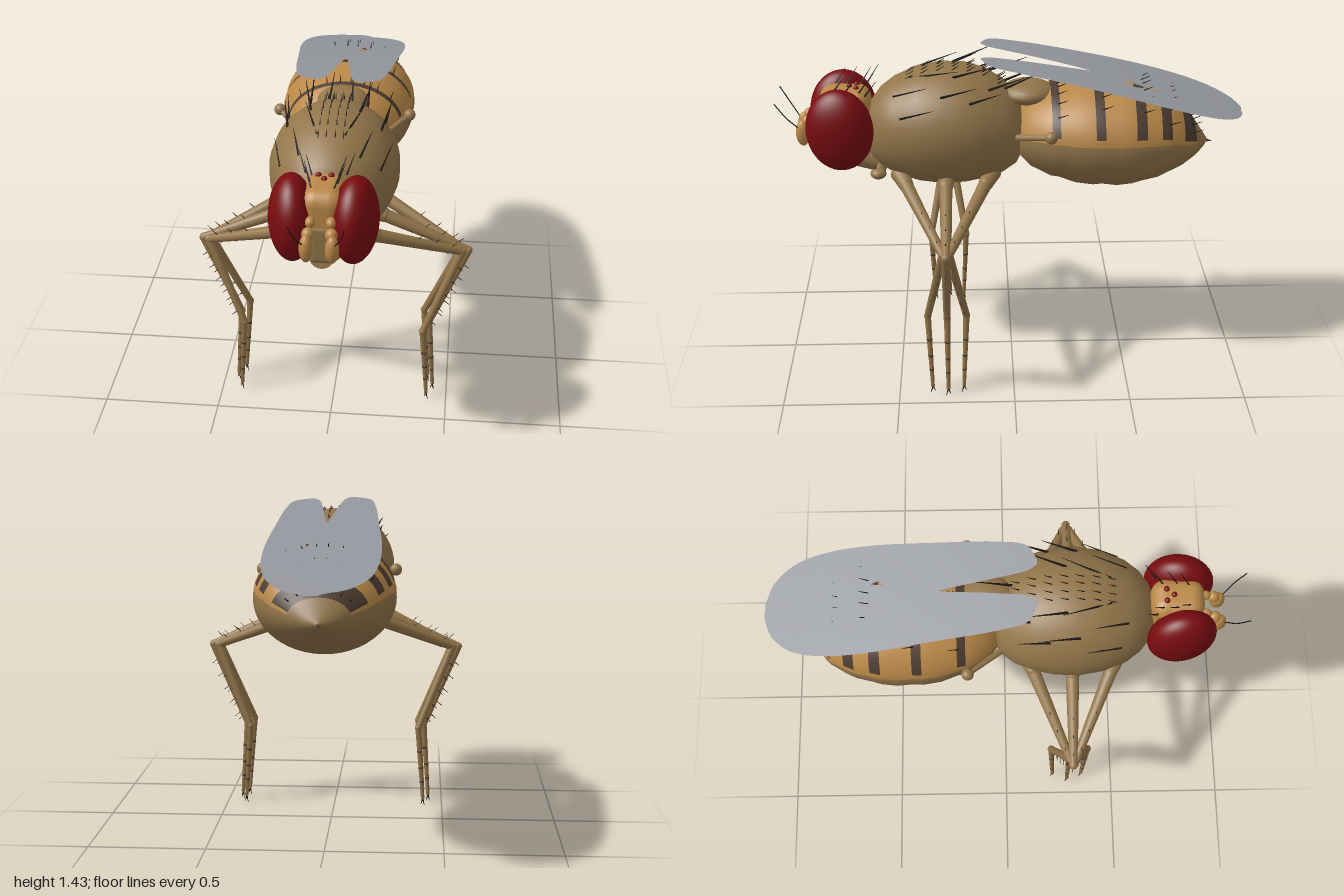
import * as THREE from 'three';
import { mergeGeometries } from 'three/addons/utils/BufferGeometryUtils.js';
import { RoundedBoxGeometry } from 'three/addons/geometries/RoundedBoxGeometry.js';

const mat = (name, color, side = THREE.FrontSide) => {
  const m = new THREE.MeshStandardMaterial({ color, side });
  m.name = name;
  return m;
};
const V = (x, y, z) => new THREE.Vector3(x, y, z);

export function createModel() {
  const drab = mat('drab brown', 0x92754a);
  const tan = mat('warm tan', 0xb98848);
  const dark = mat('band brown', 0x4c3c30);
  const red = mat('eye red', 0x780c10);
  const black = mat('bristle black', 0x1c1814);
  const grey = mat('wing grey', 0x94979d, THREE.DoubleSide);

  const model = new THREE.Group();
  model.name = 'fly';
  const add = (name, geo, material, parent = model) => {
    const m = new THREE.Mesh(geo, material);
    m.name = name;
    parent.add(m);
    return m;
  };
  // tapered rod between two points
  const rod = (a, b, r1, r2, sides = 14) => {
    const d = b.clone().sub(a);
    const g = new THREE.CylinderGeometry(r2, r1, d.length(), sides);
    g.applyQuaternion(new THREE.Quaternion().setFromUnitVectors(V(0, 1, 0), d.normalize()));
    return g.translate((a.x + b.x) / 2, (a.y + b.y) / 2, (a.z + b.z) / 2);
  };
  const ball = (p, rx, ry = rx, rz = rx, seg = 20) =>
    new THREE.SphereGeometry(1, seg, Math.round(seg * 0.7)).scale(rx, ry, rz).translate(p.x, p.y, p.z);
  const bristles = [];
  const bristle = (p, dx, dy, dz, r = 0.0045) =>
    bristles.push(rod(p, p.clone().add(V(dx, dy, dz)), r, 0.0008, 5));

  // body lofted through oval rings [z, top, bottom, halfWidth]; pick(row, k) gives the material index
  const N = 48;
  const loft = (rows, pick = () => 0) => {
    const pos = [], faces = [[], [], []];
    rows.forEach(([z, t, b, w]) => {
      for (let k = 0; k < N; k++) {
        const a = (k / N) * Math.PI * 2;
        pos.push(w * Math.cos(a), (t + b) / 2 + ((t - b) / 2) * Math.sin(a), z);
      }
    });
    const last = rows.length - 1;
    for (const r of [rows[0], rows[last]]) pos.push(0, (r[1] + r[2]) / 2, r[0]);
    const c0 = rows.length * N;
    for (let k = 0; k < N; k++) {
      const n = (k + 1) % N;
      for (let i = 0; i < last; i++) {
        const a = i * N + k, b = i * N + n, c = a + N, d = b + N;
        faces[pick(i, k)].push(a, c, b, b, c, d);
      }
      faces[0].push(c0, k, n, c0 + 1, last * N + n, last * N + k);
    }
    const g = new THREE.BufferGeometry();
    g.setAttribute('position', new THREE.Float32BufferAttribute(pos, 3));
    g.setIndex(faces.flat());
    let start = 0;
    faces.forEach((f, i) => { g.addGroup(start, f.length, i); start += f.length; });
    g.computeVertexNormals();
    return g;
  };
  // point on the upper surface of a lofted body
  const onTop = (rows, x, z) => {
    let i = 0;
    while (i < rows.length - 2 && rows[i + 1][0] > z) i++;
    const f = (rows[i][0] - z) / (rows[i][0] - rows[i + 1][0]);
    const [t, b, w] = [1, 2, 3].map(j => THREE.MathUtils.lerp(rows[i][j], rows[i + 1][j], f));
    return V(x, (t + b) / 2 + ((t - b) / 2) * Math.sqrt(Math.max(0, 1 - (x / w) ** 2)) - 0.003, z);
  };

  // thorax
  const thorax = [
    [0.62, 1.15, 1.02, 0.07], [0.6, 1.21, 0.96, 0.12], [0.56, 1.265, 0.925, 0.17], [0.5, 1.31, 0.888, 0.215],
    [0.4, 1.353, 0.858, 0.254], [0.3, 1.37, 0.845, 0.27], [0.2, 1.366, 0.85, 0.265], [0.12, 1.342, 0.865, 0.245],
    [0.04, 1.295, 0.89, 0.212], [-0.02, 1.235, 0.93, 0.165], [-0.04, 1.19, 0.97, 0.12],
  ];
  add('thorax', loft(thorax), [drab, drab, drab]);
  add('scutellum', ball(V(0, 1.245, -0.07), 0.11, 0.05, 0.115), drab);

  // abdomen with tan upper plates; a fifth entry starts a dark band
  const abdomen = [
    [-0.03, 1.16, 0.97, 0.13], [-0.08, 1.23, 0.92, 0.2], [-0.165, 1.272, 0.878, 0.25, 1], [-0.2, 1.272, 0.873, 0.256],
    [-0.27, 1.292, 0.848, 0.281], [-0.345, 1.3, 0.838, 0.292, 1], [-0.385, 1.295, 0.841, 0.289], [-0.45, 1.3, 0.833, 0.294],
    [-0.515, 1.294, 0.84, 0.287, 1], [-0.56, 1.28, 0.852, 0.274], [-0.625, 1.263, 0.866, 0.258, 1],
    [-0.67, 1.232, 0.888, 0.234], [-0.73, 1.18, 0.915, 0.195, 1], [-0.79, 1.11, 0.953, 0.125],
    [-0.83, 1.05, 0.985, 0.06], [-0.85, 1.02, 1.005, 0.01],
  ];
  add('abdomen', loft(abdomen, (i, k) => {
    if (abdomen[i][4] && k > 1 && k < 22) return 2;
    return k > 0 && k < 23 && i < 13 ? 1 : 0;
  }), [drab, tan, dark]);
  add('tailSpine', rod(V(0, 1.015, -0.82), V(0, 1.003, -0.875), 0.015, 0.001, 8), dark);

  // head and snout
  add('head', new RoundedBoxGeometry(0.17, 0.32, 0.22, 5, 0.06).translate(0, 1.115, 0.71), tan);
  add('face', new RoundedBoxGeometry(0.1, 0.17, 0.06, 4, 0.025).translate(0, 1.055, 0.795), drab);
  add('snout', rod(V(0, 0.995, 0.8), V(0, 0.935, 0.58), 0.05, 0.05, 24), drab);
  for (const [x, z] of [[-0.025, 0.66], [0.025, 0.66], [0, 0.69]])
    add('simpleEye', ball(V(x, 1.276, z), 0.012, 0.012, 0.012, 12), red);

  for (const s of [1, -1]) {
    const side = s > 0 ? 'left' : 'right';
    const eye = add(side + 'Eye', new THREE.SphereGeometry(1, 40, 28).scale(0.092, 0.18, 0.145), red);
    eye.position.set(s * 0.123, 1.125, 0.73);
    eye.rotation.y = -s * 0.15;
    add(side + 'Labellum', ball(V(s * 0.035, 0.883, 0.58), 0.035, 0.024, 0.035), drab);

    // antenna
    const antenna = new THREE.Group();
    antenna.name = side + 'Antenna';
    model.add(antenna);
    add('antennaBase', ball(V(s * 0.04, 1.165, 0.83), 0.02, 0.022, 0.025), tan, antenna);
    add('antennaMiddle', ball(V(s * 0.045, 1.135, 0.87), 0.024, 0.027, 0.026), tan, antenna);
    add('antennaEnd', ball(V(s * 0.05, 1.085, 0.893), 0.027, 0.058, 0.031), tan, antenna);
    const bend = [V(s * 0.06, 1.11, 0.91), V(s * 0.09, 1.17, 0.955), V(s * 0.105, 1.24, 1.0)];
    add('feeler', new THREE.TubeGeometry(new THREE.CatmullRomCurve3(bend), 8, 0.0025, 5), black, antenna);

    // balancing knob behind the wing
    add(side + 'KnobStalk', rod(V(s * 0.17, 1.1, -0.02), V(s * 0.28, 1.143, -0.15), 0.014, 0.01), drab);
    add(side + 'Knob', ball(V(s * 0.285, 1.145, -0.157), 0.026), drab);

    // wing: strip between an inner and an outer edge [inner, outer, z]
    const edge = new THREE.CatmullRomCurve3([
      [0.08, 0.1, 0.13], [0.055, 0.165, 0.09], [0.035, 0.193, -0.03], [0, 0.215, -0.28], [-0.06, 0.235, -0.55],
      [-0.09, 0.23, -0.73], [-0.08, 0.195, -0.87], [-0.045, 0.12, -0.96], [-0.01, 0.035, -0.995],
    ].map(p => V(...p)));
    const wing = new THREE.PlaneGeometry(1, 1, 4, 48);
    const wp = wing.attributes.position;
    for (let i = 0; i < wp.count; i++) {
      const e = edge.getPoint(0.5 - wp.getY(i));
      const f = (0.13 - e.z) / 1.125;
      const y = 1.425 - 0.28 * f + 0.09 * f * (1 - f) + (s < 0 ? 0.008 : 0);
      wp.setXYZ(i, s * THREE.MathUtils.lerp(e.x, e.y, 0.5 - s * wp.getX(i)), y, e.z);
    }
    // keep the upper face as the front of the strip
    wing.setIndex(Array.from(wing.index.array).reverse());
    wing.computeVertexNormals();
    add(side + 'Wing', wing, grey);

    // legs: fore, middle and hind fan out from one knee line
    [['Front', 1], ['Middle', 0], ['Hind', -1]].forEach(([label, d]) => {
      const leg = new THREE.Group();
      leg.name = side + label + 'Leg';
      model.add(leg);
      const out = d === 0 ? 0.025 : 0;
      const hip = V(s * 0.11, 0.92, 0.285 + d * 0.2);
      const joint = V(s * (0.18 + out), 0.895, 0.285 + d * 0.17);
      const knee = V(s * (0.54 + out), 0.74, 0.285 + d * 0.012);
      const ankle = V(s * (0.388 + out), 0.37, 0.288 + d * 0.083);
      const foot = V(s * (0.412 + out), 0.03, 0.288 + d * 0.068);
      add('hip', rod(hip, joint, 0.04, 0.032), drab, leg);
      add('hipJoint', ball(joint, 0.032), drab, leg);
      add('thigh', rod(joint, knee, 0.029, 0.018), drab, leg);
      add('knee', ball(knee, 0.019), drab, leg);
      add('shin', rod(knee, ankle, 0.019, 0.015), drab, leg);
      add('ankle', ball(ankle, 0.016), drab, leg);
      add('foot', rod(ankle, foot, 0.014, 0.008), drab, leg);
      for (const f of [0.32, 0.55, 0.75]) {
        const p = ankle.clone().lerp(foot, f), q = ankle.clone().lerp(foot, f + 0.025);
        add('footRing', rod(p, q, 0.0145 - f * 0.006, 0.0145 - f * 0.006, 10), dark, leg);
      }
      for (const c of [-1, 1]) bristle(foot, c * 0.008, -0.03, c * 0.01, 0.004);
      for (let i = 1; i < 6; i++) {
        bristle(joint.clone().lerp(knee, 0.35 + i * 0.1), s * 0.035, i % 2 ? 0.035 : -0.035, 0, 0.003);
        bristle(knee.clone().lerp(ankle, i * 0.17), s * 0.035, -0.03, 0, 0.003);
      }
    });

    // long back bristles [x, z, dx, dy, dz]
    for (const [x, z, dx, dy, dz] of [
      [0.055, 0.43, 0.07, 0.05, -0.2], [0.12, 0.5, 0.04, 0.05, -0.14], [0.2, 0.47, 0.04, 0.05, -0.14],
      [0.1, 0.25, 0.04, 0.06, -0.17], [0.19, 0.3, 0.03, 0.05, -0.15], [0.2, 0.18, 0.02, 0.05, -0.13],
      [0.12, 0.1, 0.0, 0.06, -0.17], [0.05, 0.03, -0.01, 0.07, -0.16],
    ]) bristle(onTop(thorax, s * x, z), s * dx, dy, dz, 0.006);
    // short rows along the back
    for (const x of [0.018, 0.05])
      for (let z = 0.06; z < 0.5; z += 0.065) bristle(onTop(thorax, s * x, z), 0, 0.022, -0.035, 0.003);
    // rows behind each abdominal band
    for (const z of [-0.19, -0.375, -0.55, -0.66, -0.77])
      for (const a of [0.1, 0.35, 0.6, 0.85])
        bristle(onTop(abdomen, s * a * (z < -0.7 ? 0.14 : 0.23), z), s * a * 0.015, 0.02, -0.045, 0.003);
    // crown bristles
    for (const [x, z] of [[0.04, 0.76], [0.05, 0.71], [0.05, 0.65], [0.08, 0.62]])
      bristle(V(s * x, 1.26, z), s * 0.03, 0.075, -0.05, 0.004);
  }
  add('bristles', mergeGeometries(bristles), black);
  return model;
}
